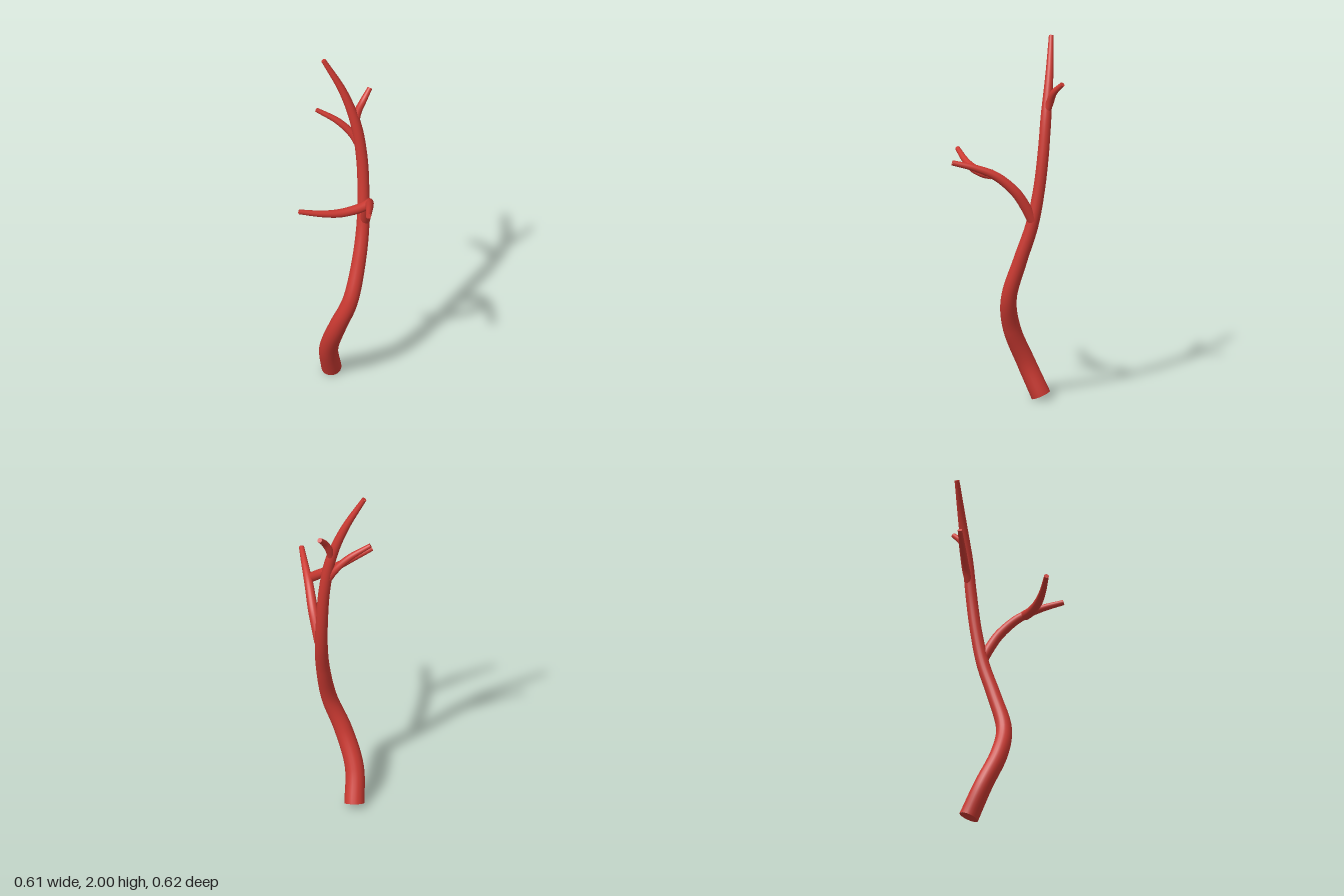
import * as THREE from 'three';
import { mergeGeometries } from 'three/addons/utils/BufferGeometryUtils.js';

const SIDES = 20;

// Tapered, capped tube through points; each point is [x, y, z, radius]
function limbGeometry(points, steps) {
  const curve = new THREE.CatmullRomCurve3(points.map(([x, y, z]) => new THREE.Vector3(x, y, z)));
  curve.arcLengthDivisions = 400;
  const tube = new THREE.TubeGeometry(curve, steps, 1, SIDES, false);
  const pos = tube.attributes.position;
  const v = new THREE.Vector3();
  const radiusAt = (u) => {
    const t = curve.getUtoTmapping(u) * (points.length - 1);
    const k = Math.min(Math.floor(t), points.length - 2);
    return THREE.MathUtils.lerp(points[k][3], points[k + 1][3], t - k);
  };
  for (let i = 0; i <= steps; i++) {
    const centre = curve.getPointAt(i / steps);
    const r = radiusAt(i / steps);
    for (let j = 0; j <= SIDES; j++) {
      const n = i * (SIDES + 1) + j;
      v.fromBufferAttribute(pos, n).sub(centre).multiplyScalar(r).add(centre);
      pos.setXYZ(n, v.x, v.y, v.z);
    }
  }
  // Flat end caps facing outwards
  const caps = [0, 1].map((u) => {
    const cap = new THREE.CircleGeometry(radiusAt(u), SIDES);
    const dir = curve.getTangentAt(u).multiplyScalar(u ? 1 : -1);
    cap.applyQuaternion(new THREE.Quaternion().setFromUnitVectors(new THREE.Vector3(0, 0, 1), dir));
    const c = curve.getPointAt(u);
    return cap.translate(c.x, c.y, c.z);
  });
  return mergeGeometries([tube, ...caps]);
}

const LIMBS = {
  // Winding main stem
  trunk: [
    [0.063, 0.02, -0.225, 0.054], [0.012, 0.2, -0.163, 0.051], [0.014, 0.4, -0.07, 0.048],
    [0.062, 0.58, -0.018, 0.043], [0.13, 0.8, -0.045, 0.038], [0.18, 1.0, -0.088, 0.035],
    [0.201, 1.2, -0.12, 0.032], [0.205, 1.4, -0.145, 0.031], [0.187, 1.6, -0.175, 0.029],
    [0.138, 1.8, -0.229, 0.022], [0.055, 1.994, -0.298, 0.013],
  ],
  // Large branch reaching forward
  frontBranch: [
    [0.19, 1.03, -0.085, 0.028], [0.18, 1.11, -0.045, 0.028], [0.163, 1.19, 0.005, 0.027],
    [0.115, 1.28, 0.095, 0.024], [0.06, 1.33, 0.195, 0.019], [-0.005, 1.362, 0.303, 0.014],
  ],
  // Side twig growing off the front branch
  rightTwig: [
    [0.1, 1.295, 0.123, 0.027], [0.03, 1.289, 0.126, 0.026], [-0.08, 1.293, 0.118, 0.023],
    [-0.18, 1.313, 0.1, 0.018], [-0.3, 1.348, 0.068, 0.013],
  ],
  // Small twigs near the top
  leftTwig: [
    [0.188, 1.62, -0.18, 0.02], [0.205, 1.672, -0.188, 0.021],
    [0.24, 1.732, -0.19, 0.018], [0.292, 1.785, -0.21, 0.013],
  ],
  backTwig: [
    [0.195, 1.475, -0.165, 0.02], [0.172, 1.535, -0.192, 0.021],
    [0.11, 1.612, -0.238, 0.018], [0.013, 1.682, -0.3, 0.012],
  ],
};

export function createModel() {
  const group = new THREE.Group();
  group.name = 'branchingStem';
  const red = new THREE.MeshStandardMaterial({ color: 0xcc3a32 });
  red.name = 'red';
  for (const [name, points] of Object.entries(LIMBS)) {
    const mesh = new THREE.Mesh(limbGeometry(points, points.length * 6), red);
    mesh.name = name;
    group.add(mesh);
  }
  return group;
}
